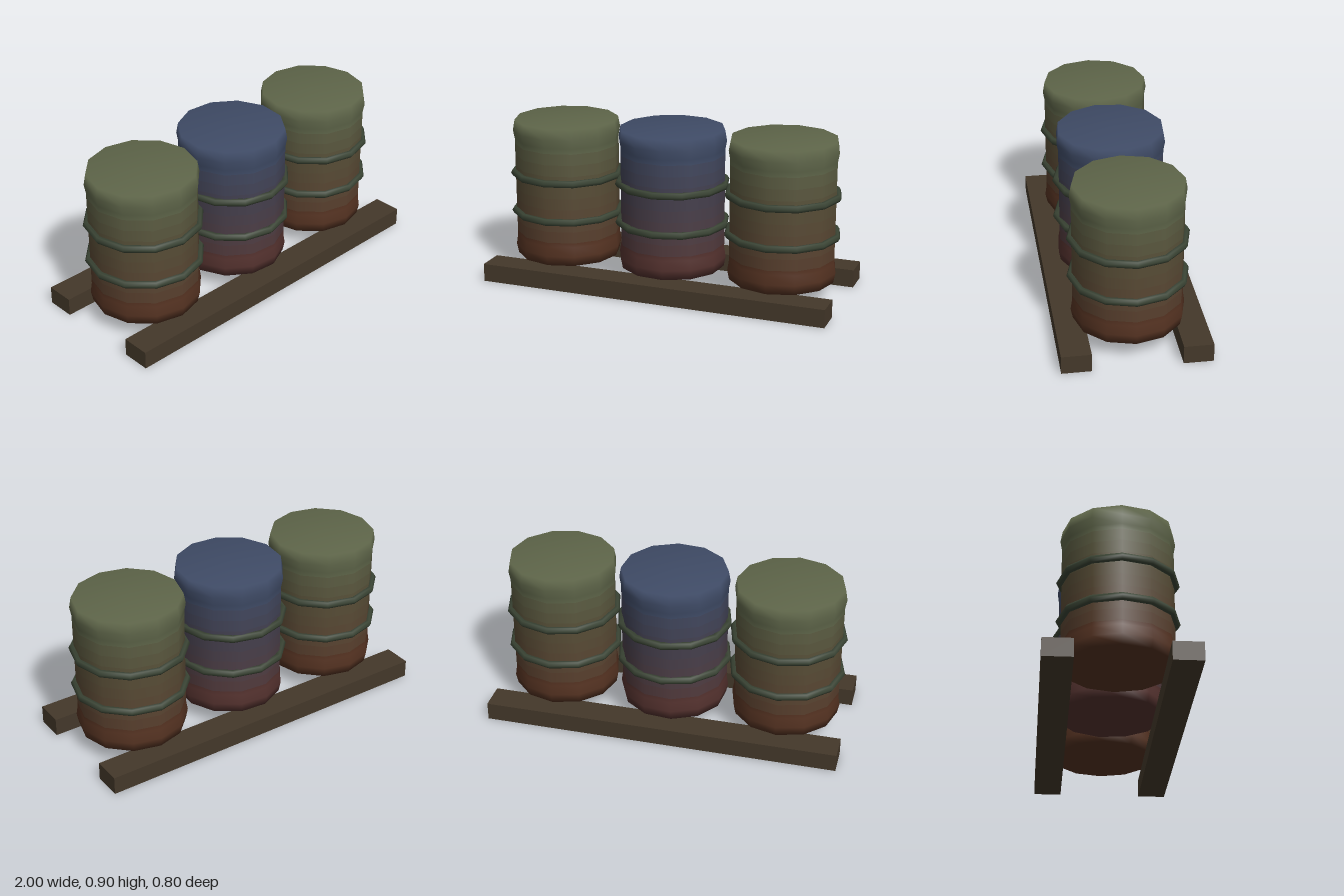
import * as THREE from 'three';

const SIDES = 12;
const BASE = 0.105;
const TOP = 0.9;
const WALL = 0.298;

const paint = (color) => new THREE.MeshStandardMaterial({ color });
const wood = paint(0x44382a);
const bandMaterial = paint(0x3a4434);

// Paint fading into rust: [height, color] stops, bottom to top
const greenFade = [[0.15, 0x55301f], [0.3, 0x594230], [0.55, 0x574d36], [0.85, 0x5e6549]];
const blueFade = [[0.15, 0x55302b], [0.3, 0x503c40], [0.55, 0x443f4d], [0.85, 0x3f4b66]];

function fadeColor(stops, y) {
  if (y <= stops[0][0]) return new THREE.Color(stops[0][1]);
  for (let i = 1; i < stops.length; i++) {
    const [y0, c0] = stops[i - 1];
    const [y1, c1] = stops[i];
    if (y <= y1) return new THREE.Color(c0).lerp(new THREE.Color(c1), (y - y0) / (y1 - y0));
  }
  return new THREE.Color(stops[stops.length - 1][1]);
}

function lathe(name, points, color) {
  const geometry = new THREE.LatheGeometry(points.map(([r, y]) => new THREE.Vector2(r, y)), SIDES);
  const mesh = new THREE.Mesh(geometry, paint(color));
  mesh.name = name;
  return mesh;
}

function createBarrel(fade, turn) {
  const barrel = new THREE.Group();
  const body = new THREE.Group();
  body.name = 'barrelBody';
  body.rotation.y = turn;

  // Bulged foot with the closed underside
  body.add(lathe('barrelFoot', [
    [0, BASE], [0.296, BASE], [0.307, 0.16], [WALL, 0.215], [WALL, 0.24],
  ], fadeColor(fade, 0.17)));

  // Straight wall in slices that follow the fade
  const slices = 8;
  const step = (0.76 - 0.24) / slices;
  for (let i = 0; i < slices; i++) {
    const y = 0.24 + i * step;
    body.add(lathe('barrelWall', [[WALL, y], [WALL, y + step]], fadeColor(fade, y + step / 2)));
  }

  // Bulged rim with the closed lid
  body.add(lathe('barrelLid', [
    [WALL, 0.76], [WALL, 0.79], [0.307, 0.84], [0.296, TOP], [0, TOP],
  ], fadeColor(fade, TOP)));
  barrel.add(body);

  // Two hoops around the wall
  for (const y of [0.365, 0.59]) {
    const hoop = new THREE.Mesh(new THREE.TorusGeometry(0.305, 0.021, 6, SIDES), bandMaterial);
    hoop.name = 'barrelHoop';
    hoop.rotation.x = Math.PI / 2;
    hoop.position.y = y;
    barrel.add(hoop);
  }
  return barrel;
}

export function createModel() {
  const model = new THREE.Group();
  model.name = 'barrelRack';

  // Two beams carrying the barrels
  for (const side of [1, -1]) {
    const beam = new THREE.Mesh(new THREE.BoxGeometry(2, 0.102, 0.16), wood);
    beam.name = side > 0 ? 'frontBeam' : 'backBeam';
    beam.position.set(0, 0.051, side * 0.32);
    model.add(beam);
  }

  // Row of three barrels, the middle one blue and slightly turned
  for (const i of [-1, 0, 1]) {
    const barrel = createBarrel(i === 0 ? blueFade : greenFade, i === 0 ? 0.17 : 0);
    barrel.name = ['rightBarrel', 'middleBarrel', 'leftBarrel'][i + 1];
    barrel.position.x = i * 0.646;
    model.add(barrel);
  }
  return model;
}
